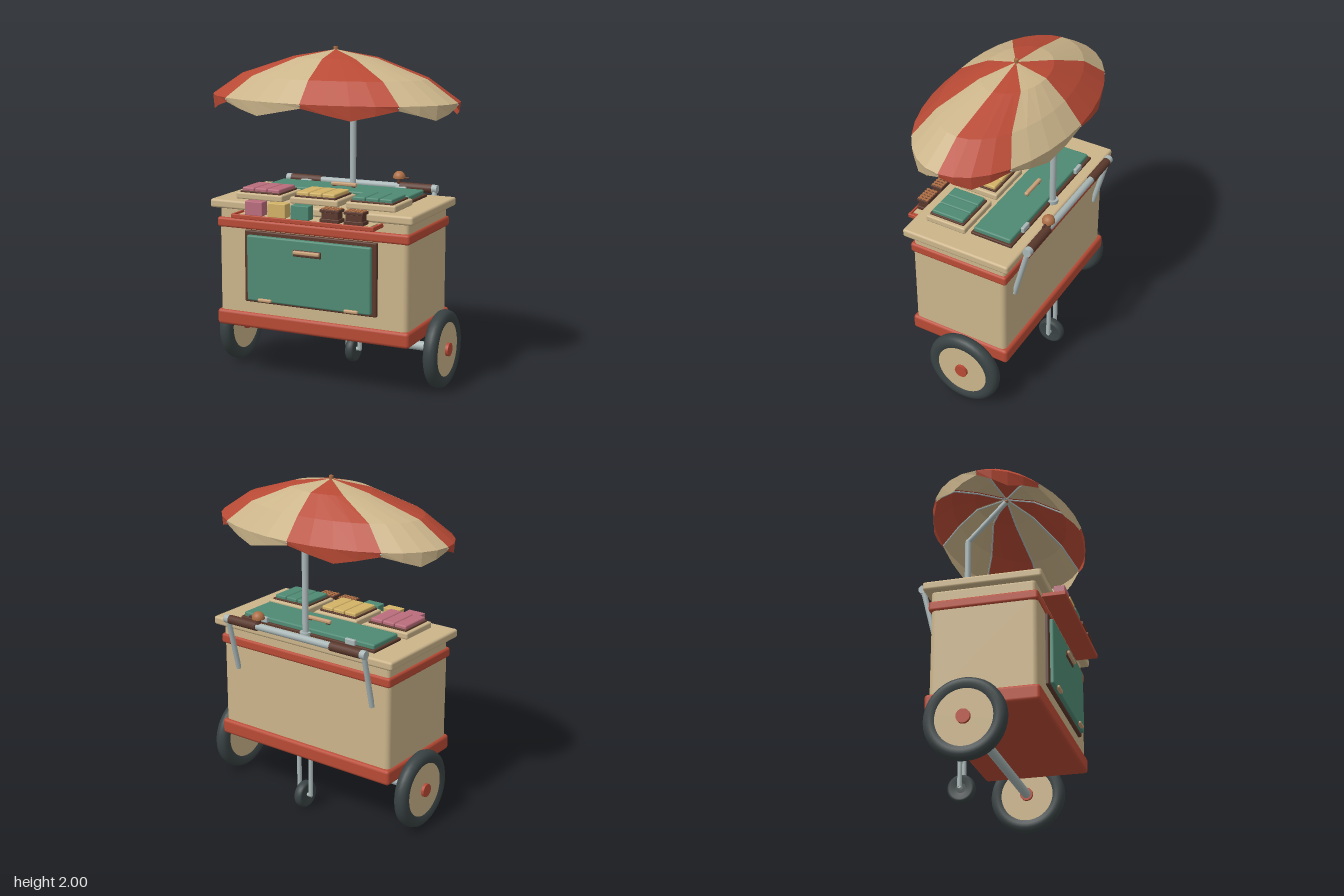
import * as THREE from 'three';
import { RoundedBoxGeometry } from 'three/addons/geometries/RoundedBoxGeometry.js';

const mat = (name, color, side = THREE.FrontSide) => {
  const m = new THREE.MeshStandardMaterial({ color, side });
  m.name = name;
  return m;
};

export function createModel() {
  const cream = mat('cream', 0xcbb48a, THREE.DoubleSide);
  const red = mat('brick red', 0xb84a35, THREE.DoubleSide);
  const green = mat('sea green', 0x4f8a74);
  const brown = mat('dark brown', 0x5a382c);
  const metal = mat('pale metal', 0xa9b6b6);
  const rubber = mat('rubber', 0x394243);
  const pink = mat('pink', 0xba6d7c);
  const yellow = mat('yellow', 0xd2b266);
  const copper = mat('copper', 0xad6e45);
  const tan = mat('tan', 0xc79f76);

  const cart = new THREE.Group();
  cart.name = 'vendingCart';
  const add = (name, geo, material, x = 0, y = 0, z = 0, parent = cart) => {
    const m = new THREE.Mesh(geo, material);
    m.name = name;
    m.position.set(x, y, z);
    parent.add(m);
    return m;
  };
  // Box given by its extents in x, y and z, with a small rounded edge
  const box = (name, material, x0, x1, y0, y1, z0, z1, r = 0.006) => {
    const w = x1 - x0, h = y1 - y0, d = z1 - z0;
    const geo = r ? new RoundedBoxGeometry(w, h, d, 2, Math.min(r, w / 2.1, h / 2.1, d / 2.1))
      : new THREE.BoxGeometry(w, h, d);
    return add(name, geo, material, (x0 + x1) / 2, (y0 + y1) / 2, (z0 + z1) / 2);
  };
  // Round rod between two points
  const rod = (name, material, a, b, r, sides = 16) => {
    const p = new THREE.Vector3(...a), q = new THREE.Vector3(...b);
    const m = add(name, new THREE.CylinderGeometry(r, r, p.distanceTo(q), sides), material);
    m.position.copy(p).add(q).multiplyScalar(0.5);
    m.quaternion.setFromUnitVectors(new THREE.Vector3(0, 1, 0), q.sub(p).normalize());
    return m;
  };

  // Cabinet
  box('baseRail', red, -0.625, 0.625, 0.33, 0.425, -0.325, 0.325, 0.02);
  box('cabinet', cream, -0.61, 0.61, 0.38, 0.97, -0.305, 0.31, 0.03);
  box('upperRail', red, -0.62, 0.62, 0.93, 0.99, -0.317, 0.317, 0.015);
  box('neck', cream, -0.607, 0.607, 0.96, 1.06, -0.305, 0.3, 0.02);
  box('counter', cream, -0.65, 0.65, 1.05, 1.102, -0.345, 0.345, 0.014);

  // Front hatch
  box('hatchFrame', brown, -0.427, 0.427, 0.495, 0.93, 0.3, 0.33, 0.008);
  box('hatchDoor', green, -0.4, 0.4, 0.51, 0.905, 0.31, 0.353, 0.01);
  box('hatchHandleBack', brown, -0.09, 0.09, 0.808, 0.848, 0.345, 0.36, 0.006);
  box('hatchHandle', tan, -0.085, 0.085, 0.823, 0.845, 0.355, 0.376, 0.008);
  for (const s of [-1, 1]) box('hatchHinge', tan, s * 0.28 - 0.045, s * 0.28 + 0.045, 0.51, 0.53, 0.34, 0.366, 0.008);

  // Front shelf with a raised rim
  box('shelf', red, -0.455, 0.455, 1.018, 1.034, 0.29, 0.438, 0.005);
  box('shelfInlay', cream, -0.42, 0.42, 1.033, 1.039, 0.3, 0.42, 0);
  box('shelfLip', red, -0.455, 0.455, 1.02, 1.044, 0.424, 0.438, 0.005);
  for (const s of [-1, 1]) box('shelfEnd', red, s * 0.448 - 0.007, s * 0.448 + 0.007, 1.02, 1.044, 0.3, 0.438, 0.005);

  // Goods on the shelf
  [[pink, -0.317], [yellow, -0.167], [green, -0.017]].forEach(([m, x]) =>
    box('smallCarton', m, x - 0.057, x + 0.057, 1.039, 1.122, 0.35, 0.415, 0.004));
  for (const x of [0.173, 0.323]) {
    box('waferBase', brown, x - 0.06, x + 0.06, 1.039, 1.062, 0.342, 0.42, 0.004);
    box('waferStack', brown, x - 0.052, x + 0.052, 1.06, 1.1, 0.349, 0.413, 0.004);
    box('waferTop', brown, x - 0.06, x + 0.06, 1.098, 1.116, 0.342, 0.42, 0.004);
    for (let i = -2; i <= 2; i++) box('waferRib', copper, x + i * 0.023 - 0.006, x + i * 0.023 + 0.006, 1.114, 1.12, 0.346, 0.416, 0);
    for (let i = -1; i <= 1; i++) box('waferCrossRib', copper, x - 0.056, x + 0.056, 1.114, 1.119, 0.377 + i * 0.025, 0.385 + i * 0.025, 0);
  }

  // Three display trays on the counter
  [[pink, -0.36], [yellow, 0], [green, 0.36]].forEach(([m, x]) => {
    box('trayBase', cream, x - 0.155, x + 0.155, 1.1, 1.14, 0.01, 0.27, 0.01);
    box('trayFrame', brown, x - 0.133, x + 0.133, 1.135, 1.15, 0.03, 0.255, 0.004);
    for (let i = -1; i <= 1; i++)
      box('trayBar', m, x + i * 0.084 - 0.04, x + i * 0.084 + 0.04, 1.14, 1.17, 0.04, 0.247, 0.008);
  });

  // Long rear lid
  box('lidFrame', brown, -0.49, 0.49, 1.1, 1.118, -0.28, -0.015, 0.005);
  box('lid', green, -0.475, 0.475, 1.11, 1.145, -0.265, -0.025, 0.01);
  box('lidHandle', tan, -0.085, 0.085, 1.15, 1.172, -0.158, -0.133, 0.008);
  for (const s of [-1, 1]) {
    box('lidHandlePost', brown, s * 0.065 - 0.01, s * 0.065 + 0.01, 1.14, 1.158, -0.153, -0.138, 0);
    box('lidHinge', metal, s * 0.32 - 0.035, s * 0.32 + 0.035, 1.115, 1.15, -0.285, -0.262, 0.006);
  }

  // Push bar with grips and arms
  rod('pushBar', metal, [-0.512, 1.13, -0.39], [0.512, 1.13, -0.39], 0.021);
  for (const s of [-1, 1]) {
    rod('grip', brown, [s * 0.27, 1.13, -0.39], [s * 0.478, 1.13, -0.39], 0.027);
    rod('pushArm', metal, [s * 0.495, 1.13, -0.39], [s * 0.495, 0.79, -0.305], 0.016);
    rod('armCap', metal, [s * 0.478, 1.13, -0.39], [s * 0.512, 1.13, -0.39], 0.026);
  }

  // Bell on the push bar
  rod('bellStem', brown, [0.26, 1.14, -0.39], [0.26, 1.19, -0.39], 0.014, 12);
  add('bellDome', new THREE.SphereGeometry(0.038, 20, 8, 0, Math.PI * 2, 0, Math.PI / 2), copper, 0.26, 1.186, -0.39);
  rod('bellBase', copper, [0.26, 1.18, -0.39], [0.26, 1.187, -0.39], 0.038, 20);
  rod('bellLever', brown, [0.26, 1.183, -0.39], [0.325, 1.183, -0.39], 0.007, 8);

  // Wheels: the tyre is a rounded ring turned about the axle
  const wheel = (name, r, inner, half, x, y, z, hubMat) => {
    const g = new THREE.Group();
    g.name = name;
    g.position.set(x, y, z);
    g.rotation.z = -Math.PI / 2;
    cart.add(g);
    const profile = [[inner, -half * 0.75], [r * 0.8, -half], [r * 0.9, -half * 0.93], [r * 0.97, -half * 0.65], [r, -half * 0.2],
      [r, half * 0.2], [r * 0.97, half * 0.65], [r * 0.9, half * 0.93], [r * 0.8, half], [inner, half * 0.75]];
    add('tyre', new THREE.LatheGeometry(profile.map(p => new THREE.Vector2(...p)), 40), rubber, 0, 0, 0, g);
    add('wheelDisc', new THREE.CylinderGeometry(inner + 0.003, inner + 0.003, half * 1.5, 40), hubMat, 0, 0, 0, g);
    return g;
  };
  for (const s of [-1, 1]) {
    const g = wheel('mainWheel', 0.234, 0.163, 0.043, s * 0.68, 0.236, -0.07, cream);
    add('hubCap', new THREE.CylinderGeometry(0.04, 0.04, 0.1, 24), red, 0, 0, 0, g);
  }
  rod('axle', metal, [-0.66, 0.236, -0.07], [0.66, 0.236, -0.07], 0.028);

  // Rear support wheel and fork
  wheel('supportWheel', 0.083, 0.03, 0.027, 0, 0.084, -0.293, rubber);
  for (const s of [-1, 1]) rod('fork', metal, [s * 0.043, 0.085, -0.293], [s * 0.043, 0.345, -0.293], 0.014, 12);
  rod('supportAxle', metal, [-0.05, 0.085, -0.293], [0.05, 0.085, -0.293], 0.012, 12);

  // Cranked parasol pole
  rod('poleCollar', metal, [0, 1.1, -0.277], [0, 1.125, -0.277], 0.034);
  rod('pole', metal, [0, 1.09, -0.277], [0, 1.7, -0.277], 0.019);
  add('poleJoint', new THREE.SphereGeometry(0.019, 16, 10), metal, 0, 1.7, -0.277);
  rod('poleCrank', metal, [0, 1.7, -0.277], [0, 1.95, -0.035], 0.017);
  rod('finial', copper, [0, 1.955, -0.03], [0, 2, -0.03], 0.013, 12);

  // Canopy: oval rings [rx, rz, centre z, y] split into eight panels, ending in a pointed valance
  const rings = [[0, 0, -0.03, 1.982], [0.265, 0.185, -0.035, 1.937], [0.59, 0.335, -0.005, 1.83], [0.778, 0.443, 0, 1.705]];
  const at = ([rx, rz, cz, y], a, drop = 0) => [rx * Math.cos(a), y - drop, cz + rz * Math.sin(a)];
  const steps = 4;
  const hem = [0.77, 0.436, 0, 1.705];
  for (let p = 0; p < 8; p++) {
    const pos = [];
    for (let k = 0; k < steps; k++) {
      const [t0, t1] = [k / steps, (k + 1) / steps];
      const [a0, a1] = [t0, t1].map(t => (p + t) * Math.PI / 4);
      const drop = t => 0.025 + 0.06 * (1 - Math.abs(2 * t - 1));
      const col0 = [...rings.map(r => at(r, a0)), at(hem, a0, drop(t0))];
      const col1 = [...rings.map(r => at(r, a1)), at(hem, a1, drop(t1))];
      for (let j = 0; j < col0.length - 1; j++) {
        if (j > 0) pos.push(...col0[j], ...col1[j], ...col0[j + 1]);
        pos.push(...col1[j], ...col1[j + 1], ...col0[j + 1]);
      }
    }
    const geo = new THREE.BufferGeometry();
    geo.setAttribute('position', new THREE.Float32BufferAttribute(pos, 3));
    geo.computeVertexNormals();
    add('canopyPanel', geo, p % 2 ? red : cream);
    // Rib under each seam
    for (let j = 0; j < 3; j++) {
      const [a, b] = [rings[j], rings[j + 1]].map(r => at(r, p * Math.PI / 4, 0.012));
      rod('canopyRib', metal, a, b, 0.005, 6);
    }
  }
  return cart;
}
